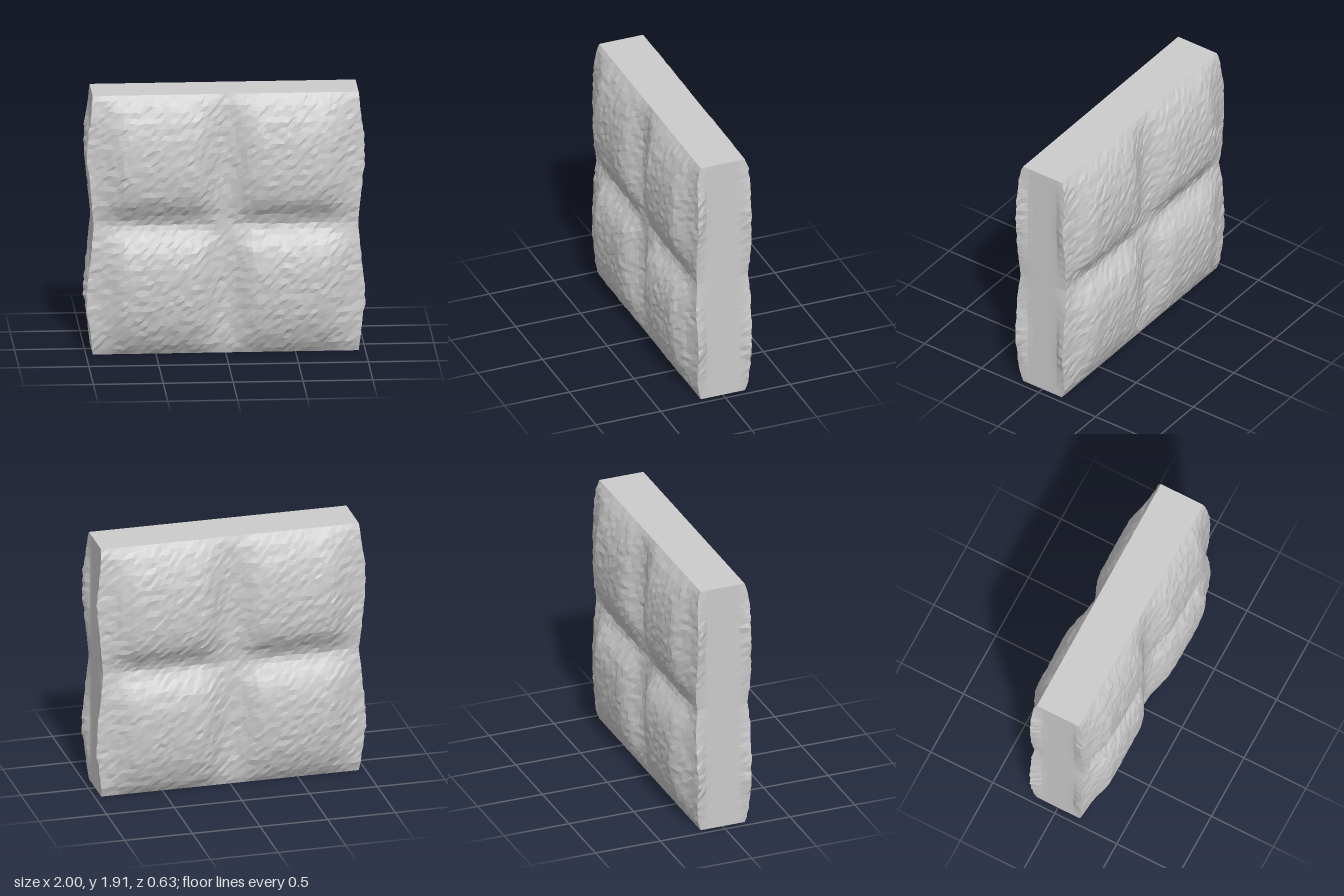
import * as THREE from 'three';

// Smooth profile through [position, value] points
function profile(points) {
  return (t) => {
    let i = 0;
    while (i < points.length - 2 && t > points[i + 1][0]) i++;
    const [a, va] = points[i], [b, vb] = points[i + 1];
    return THREE.MathUtils.lerp(va, vb, THREE.MathUtils.clamp((t - a) / (b - a), 0, 1));
  };
}

// Repeatable noise from a position, so shared seam vertices move together
function noise(x, y, z) {
  const s = Math.sin(Math.round(x * 500) * 12.9898 + Math.round(y * 500) * 78.233 + Math.round(z * 500) * 37.719) * 43758.5453;
  return (s - Math.floor(s)) * 2 - 1;
}

const HEIGHT = 1.91, HALF_WIDTH = 0.952;

// Puffiness across the width (from the centre seam) and up each half (from the outer edge)
const puffX = profile([[0, 0.03], [0.05, 0.1], [0.1, 0.34], [0.15, 0.65], [0.2, 0.88], [0.26, 0.98], [0.5, 1],
  [0.72, 0.98], [0.8, 0.62], [0.87, 0.28], [0.93, 0.12], [1, 0]]);
const puffY = profile([[0, 0], [0.05, 0.16], [0.1, 0.36], [0.2, 0.66], [0.3, 0.86], [0.4, 0.96], [0.55, 1],
  [0.65, 0.96], [0.75, 0.8], [0.82, 0.53], [0.88, 0.22], [0.92, 0.07], [0.955, 0]]);
const core = profile([[0, 0.17], [0.06, 0.19], [0.2, 0.2], [0.5, 0.205], [0.8, 0.205], [0.955, 0.195]]);
const rimY = profile([[0, 0], [0.15, 0.35], [0.35, 1], [0.5, 0.95], [0.65, 0.55], [0.8, 0.2], [0.955, -0.15]]);

// Quilted slab: a subdivided box swollen into four pads with concave side faces
function quiltedCushion() {
  const geo = new THREE.BoxGeometry(2, 2, 2, 52, 50, 10);
  const p = geo.attributes.position;
  for (let i = 0; i < p.count; i++) {
    const u = p.getX(i), v = p.getY(i), w = p.getZ(i);
    const n = noise(u, v, w), m = noise(v, w, u);
    const inU = Math.abs(u) < 0.999 ? 1 : 0, inV = Math.abs(v) < 0.999 ? 1 : 0;
    const y = (v + 1) * HEIGHT / 2 + m * 0.007 * inV;
    const edge = Math.min(y, HEIGHT - y);

    // side rims flare outward near the front and back faces
    const flare = THREE.MathUtils.smoothstep(Math.abs(w), 0.5, 1) * Math.pow(Math.abs(u), 8);
    const rim = 0.042 * rimY(edge) * flare * (1 + 0.2 * m * (1 - inU));
    const x = u * HALF_WIDTH + Math.sign(u) * rim + n * 0.007 * inU;

    const puff = puffX(Math.abs(x)) * puffY(edge);
    const depth = core(edge) + 0.105 * puff + n * 0.005 * inV;
    p.setXYZ(i, x, y, w * depth);
  }
  const flat = geo.toNonIndexed();
  flat.computeVertexNormals();
  return flat;
}

export function createModel() {
  const group = new THREE.Group();
  group.name = 'quiltedCushion';
  const material = new THREE.MeshStandardMaterial({ color: 0xcccccc, flatShading: true });
  const cushion = new THREE.Mesh(quiltedCushion(), material);
  cushion.name = 'cushion';
  group.add(cushion);
  return group;
}
